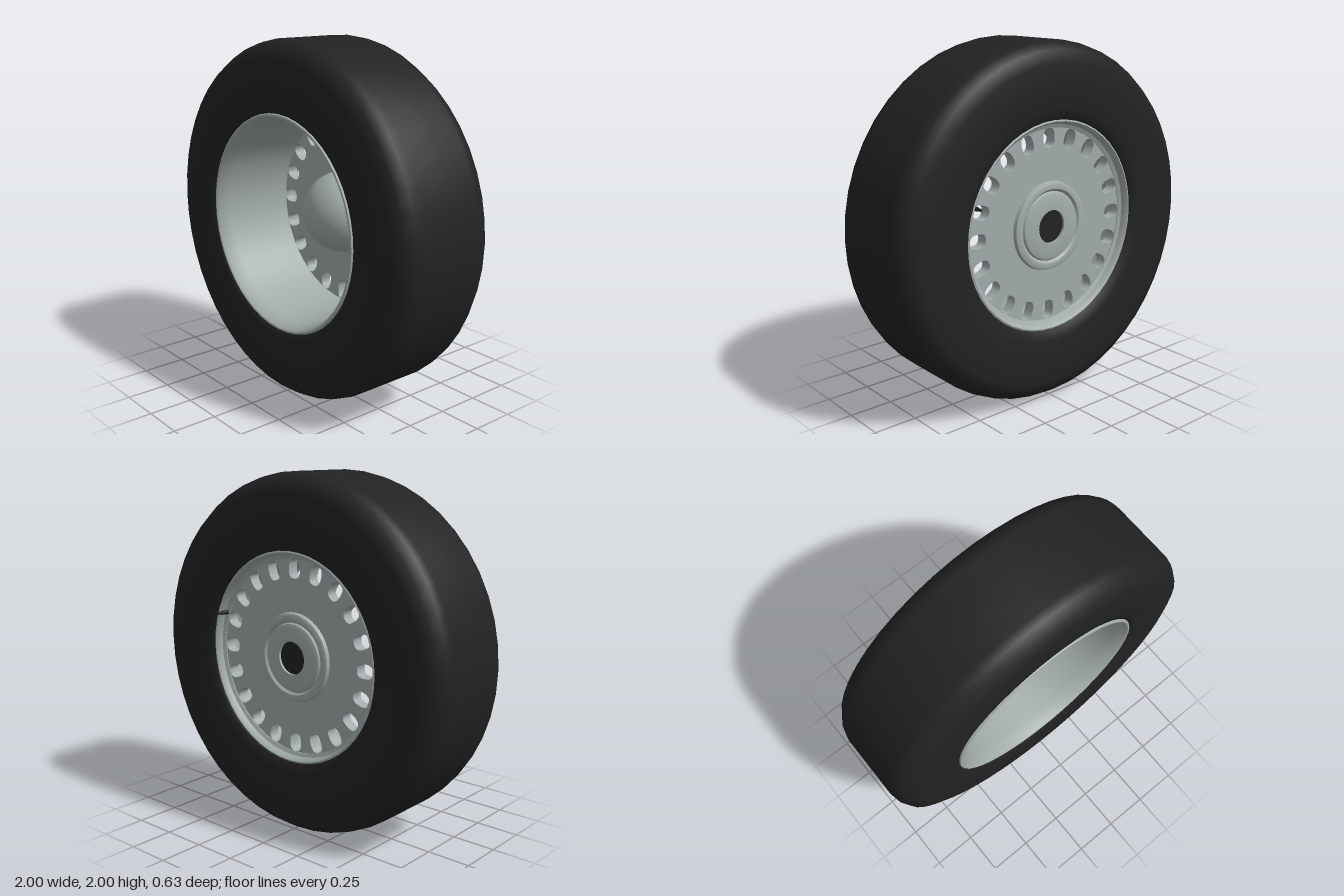
import * as THREE from 'three';
import { toCreasedNormals } from 'three/addons/utils/BufferGeometryUtils.js';

const rubber = new THREE.MeshStandardMaterial({ color: 0x222222 });
rubber.name = 'black rubber';
const metal = new THREE.MeshStandardMaterial({ color: 0xa3abab });
metal.name = 'grey metal';

const SIDES = 48;

// Revolve [radius, z] points about the wheel axle (z)
function revolve(points, crease) {
  const g = new THREE.LatheGeometry(points.map(p => new THREE.Vector2(...p)), SIDES);
  g.rotateX(Math.PI / 2);
  return crease ? toCreasedNormals(g, crease) : g;
}

export function createModel() {
  const wheel = new THREE.Group();
  wheel.name = 'wheel';
  wheel.position.y = 1;
  const add = (name, geometry, material) => {
    const mesh = new THREE.Mesh(geometry, material);
    mesh.name = name;
    wheel.add(mesh);
    return mesh;
  };

  // Tyre: flat tread, bevelled shoulders, nearly flat sidewalls
  add('tyre', revolve([
    [0.58, -0.27], [0.595, -0.295], [0.65, -0.308], [0.76, -0.316], [0.89, -0.315],
    [0.955, -0.29], [0.99, -0.235], [1, -0.19], [1, 0], [1, 0.19], [0.99, 0.235],
    [0.955, 0.29], [0.89, 0.315], [0.76, 0.316], [0.65, 0.308], [0.61, 0.295], [0.6, 0.26],
  ]), rubber);

  // Rim barrel with rolled front lip and shallow back lip
  add('rimBarrel', revolve([
    [0.612, 0.295], [0.608, 0.305], [0.598, 0.307], [0.588, 0.297], [0.575, 0.22],
    [0.56, 0.02], [0.54, -0.17], [0.54, -0.24], [0.56, -0.25], [0.567, -0.275],
    [0.578, -0.287], [0.587, -0.283],
  ], 0.7), metal);

  // Disc with a ring of twenty rounded slots
  const plate = new THREE.Shape().absarc(0, 0, 0.545, 0, Math.PI * 2);
  const slots = 20;
  for (let i = 0; i < slots; i++) {
    const angle = (i / slots) * Math.PI * 2;
    const hole = new THREE.Path();
    const outline = [];
    for (let k = 0; k < 20; k++) {
      const t = (k / 20) * Math.PI * 2;
      const c = Math.cos(t), s = Math.sin(t);
      // superellipse, long side along the radius
      const u = 0.486 + 0.053 * Math.sign(c) * Math.abs(c) ** 0.75;
      const v = 0.04 * Math.sign(s) * Math.abs(s) ** 0.75;
      outline.push(new THREE.Vector2(
        u * Math.cos(angle) - v * Math.sin(angle),
        u * Math.sin(angle) + v * Math.cos(angle)));
    }
    hole.setFromPoints(outline.reverse());
    plate.holes.push(hole);
  }
  const disc = new THREE.ExtrudeGeometry(plate, { depth: 0.065, bevelEnabled: false, curveSegments: 24 });
  disc.translate(0, 0, -0.235);
  add('slottedDisc', toCreasedNormals(disc, 0.8), metal);

  // Hub dome on the front of the disc
  const dome = [];
  for (let i = 0; i <= 12; i++) {
    const t = (i / 12) * Math.PI / 2;
    dome.push([i === 12 ? 0 : 0.235 * Math.cos(t), -0.172 + 0.235 * Math.sin(t)]);
  }
  add('hubDome', revolve(dome), metal);

  // Stepped hub ring and dark bore on the back
  add('hubRing', revolve([
    [0.092, -0.236], [0.092, -0.264], [0.17, -0.264], [0.188, -0.258], [0.195, -0.248],
    [0.208, -0.26], [0.23, -0.262], [0.245, -0.255], [0.25, -0.234],
  ], 0.6), metal);
  const bore = add('hubBore', new THREE.CircleGeometry(0.094, 32), rubber);
  bore.rotation.y = Math.PI;
  bore.position.z = -0.25;

  // Valve stem at the back lip
  const valve = new THREE.Group();
  valve.name = 'valveStem';
  [[0.014, 0.05, 0], [0.009, 0.03, 0.035]].forEach(([r, h, y]) => {
    const part = new THREE.Mesh(new THREE.CylinderGeometry(r * 0.8, r, h, 12), rubber);
    part.name = 'valvePart';
    part.position.y = y;
    valve.add(part);
  });
  valve.rotation.x = -Math.PI / 2;
  valve.position.set(0.522, 0.19, -0.262);
  wheel.add(valve);

  const model = new THREE.Group();
  model.name = 'wheelModel';
  model.add(wheel);
  return model;
}
